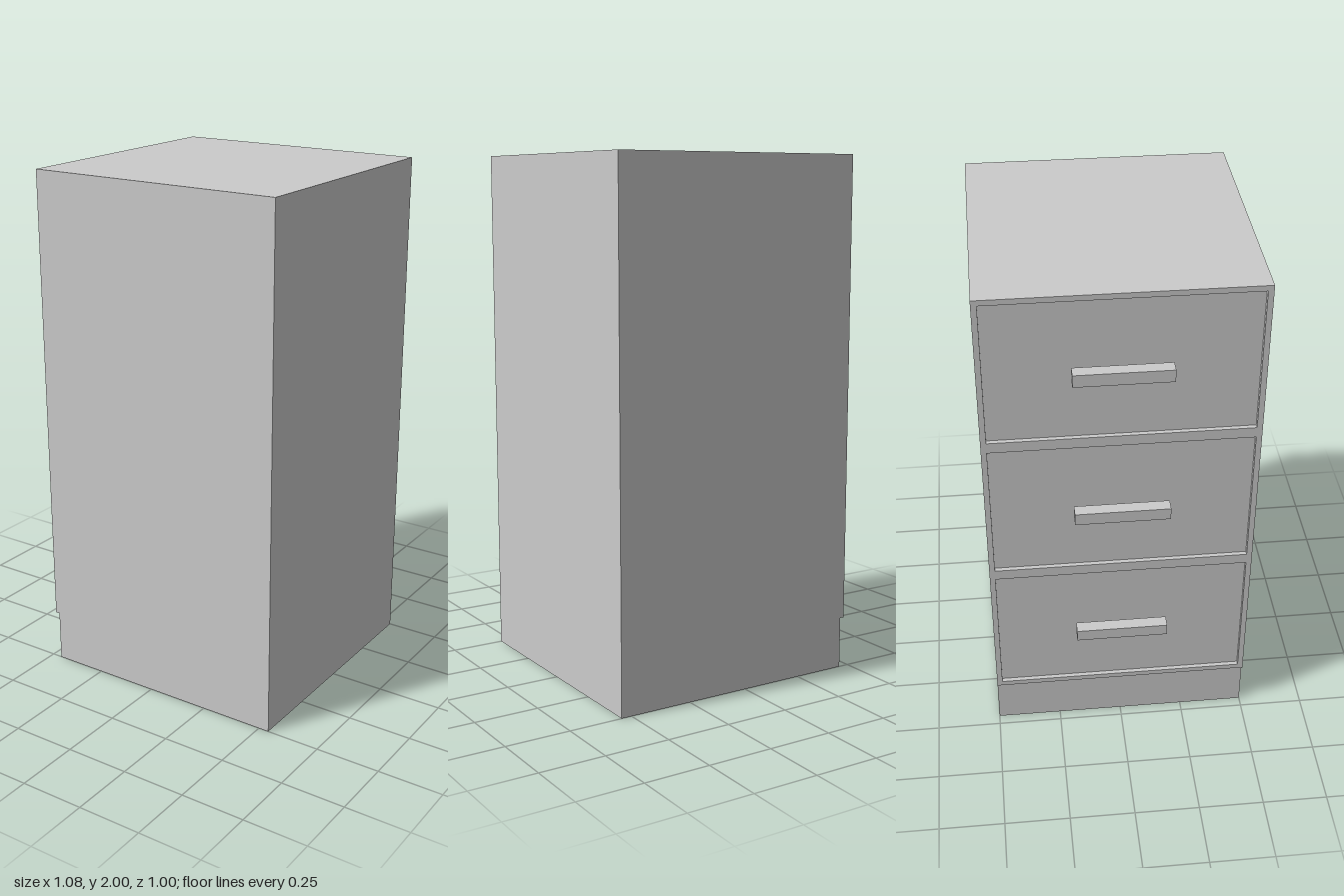
import * as THREE from 'three';

const material = new THREE.MeshStandardMaterial({ color: 0xcccccc, flatShading: true });

function addMesh(parent, name, geometry, x, y, z) {
  const mesh = new THREE.Mesh(geometry, material);
  mesh.name = name;
  mesh.position.set(x, y, z);
  parent.add(mesh);
}

// Counter-clockwise rectangle, usable as outline or hole
function rectangle(PathType, x0, y0, x1, y1) {
  const path = new PathType();
  path.moveTo(x0, y0);
  path.lineTo(x1, y0);
  path.lineTo(x1, y1);
  path.lineTo(x0, y1);
  path.closePath();
  return path;
}

export function createModel() {
  const group = new THREE.Group();
  group.name = 'drawerCabinet';

  const faceX = -0.459; // drawer panels and toe kick lie in this plane
  const frameDepth = 0.017;
  const kickHeight = 0.2;
  const drawerPitch = 0.6;
  const margin = 0.021;

  // Cabinet body
  addMesh(group, 'cabinetBody', new THREE.BoxGeometry(1, 2, 1), faceX + 0.5, 1, 0);

  // Raised frame with one opening per drawer, on the -x face above the toe kick
  const outline = rectangle(THREE.Shape, -0.5, kickHeight, 0.5, 2);
  for (let i = 0; i < 3; i++) {
    const y = kickHeight + i * drawerPitch;
    outline.holes.push(
      rectangle(THREE.Path, -0.5 + margin, y + margin, 0.5 - margin, y + drawerPitch - margin)
    );
  }
  const frame = new THREE.ExtrudeGeometry(outline, { depth: frameDepth, bevelEnabled: false });
  frame.rotateY(-Math.PI / 2);
  addMesh(group, 'drawerFrame', frame, faceX, 0, 0);

  // Bar handles standing clear of the drawers
  const handle = new THREE.BoxGeometry(0.048, 0.048, 0.35);
  [0.516, 1.104, 1.708].forEach((y, i) => {
    addMesh(group, `drawerHandle${i + 1}`, handle, -0.519, y, -0.003);
  });

  return group;
}
